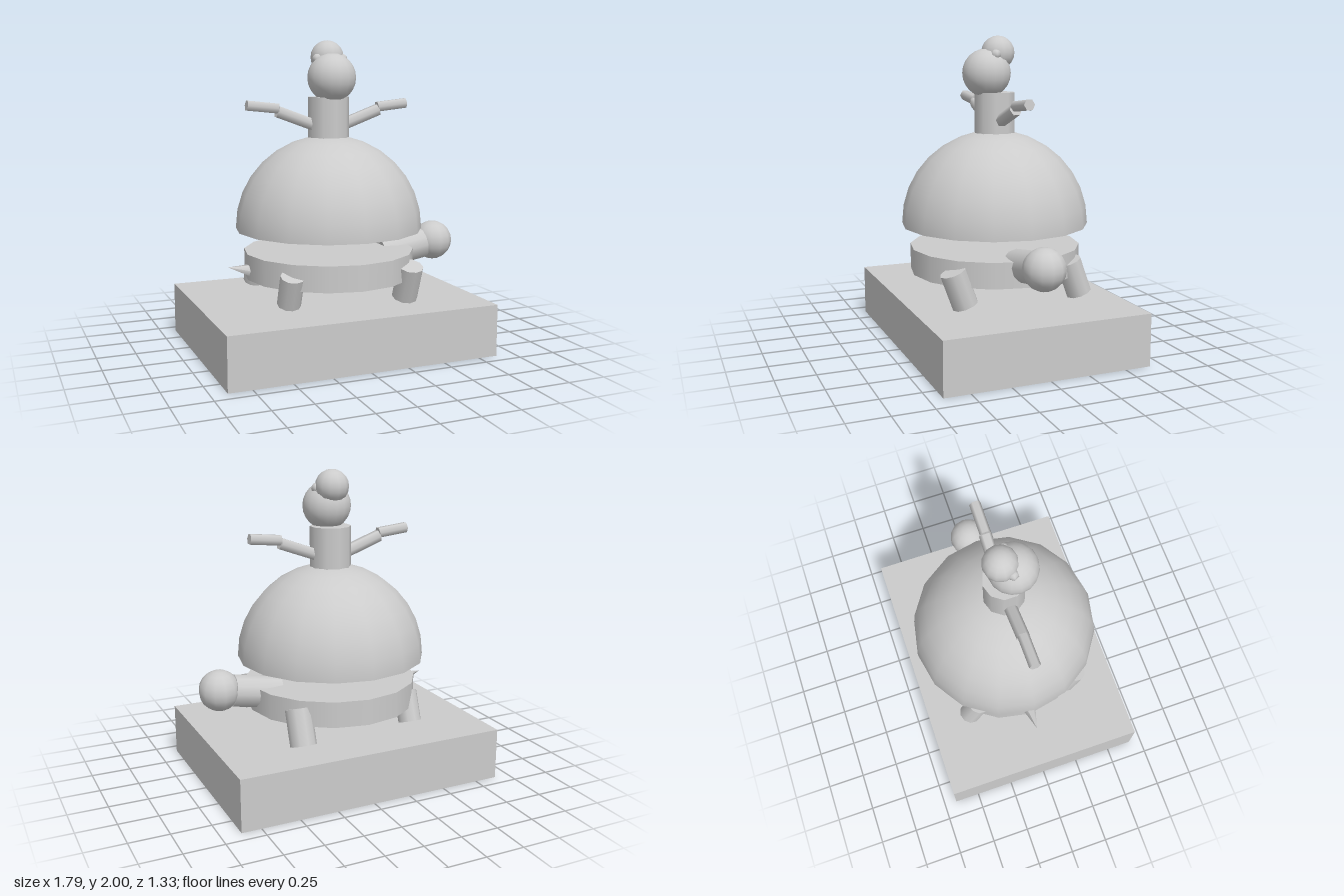
import * as THREE from 'three';

const CX = -0.012; // shared axis of the stacked parts

export function createModel() {
  const model = new THREE.Group();
  const mat = new THREE.MeshStandardMaterial({ color: 0xcccccc });
  const matOpen = new THREE.MeshStandardMaterial({ color: 0xcccccc, side: THREE.DoubleSide });

  function add(name, geo, x, y, z, material = mat) {
    const m = new THREE.Mesh(geo, material);
    m.name = name;
    m.position.set(x, y, z);
    model.add(m);
    return m;
  }
  const ball = (name, r, x, y, z, w = 16, h = 12) =>
    add(name, new THREE.SphereGeometry(r, w, h), x, y, z);

  // cylinder or cone running from point a to point b
  function rod(name, a, b, rA, rB, sides) {
    const p = new THREE.Vector3(...a), q = new THREE.Vector3(...b);
    const dir = q.clone().sub(p), mid = p.clone().add(q).multiplyScalar(0.5);
    const m = add(name, new THREE.CylinderGeometry(rB, rA, dir.length(), sides), mid.x, mid.y, mid.z);
    m.quaternion.setFromUnitVectors(new THREE.Vector3(0, 1, 0), dir.normalize());
    return m;
  }

  // base block
  add('base', new THREE.BoxGeometry(1.775, 0.335, 1.334), CX, 0.1675, 0);

  // lower animal: disc body, four leaning legs, neck, head and tail
  add('lowerBody', new THREE.CylinderGeometry(0.557, 0.557, 0.165, 16), CX, 0.5625, 0);
  for (const side of [1, -1]) {
    const front = add('frontLeg', new THREE.CylinderGeometry(0.083, 0.083, 0.23, 10), 0.375, 0.473, side * 0.39);
    const back = add('backLeg', new THREE.CylinderGeometry(0.075, 0.075, 0.2, 10), -0.404, 0.475, side * 0.35);
    front.rotation.x = back.rotation.x = 0.35;
  }
  rod('lowerNeck', [0.37, 0.58, 0], [0.68, 0.633, 0], 0.105, 0.105, 12);
  ball('lowerHead', 0.132, 0.763, 0.647, 0, 12, 10);
  rod('tail', [-0.46, 0.525, 0], [-0.7, 0.573, 0], 0.068, 0, 6);

  // open half-sphere shell
  add('shell', new THREE.SphereGeometry(0.61, 16, 8, 0, Math.PI * 2, 0, Math.PI / 2), CX, 0.785, 0, matOpen);

  // rider: hips under the shell, torso, head, bun and ears
  ball('hips', 0.19, CX, 1.19, 0);
  add('torso', new THREE.CylinderGeometry(0.133, 0.133, 0.34, 10), CX, 1.47, 0);
  ball('head', 0.156, CX, 1.763, 0.055);
  ball('hairBun', 0.108, CX, 1.892, -0.023, 12, 10);
  for (const side of [1, -1]) {
    ball('ear', 0.034, CX + side * 0.087, 1.88, 0.026, 6, 6);
    rod('upperArm', [CX + side * 0.08, 1.452, 0], [CX + side * 0.35, 1.551, 0], 0.041, 0.041, 6);
    rod('forearm', [CX + side * 0.345, 1.57, 0], [CX + side * 0.552, 1.592, 0], 0.036, 0.036, 6);
  }
  return model;
}
